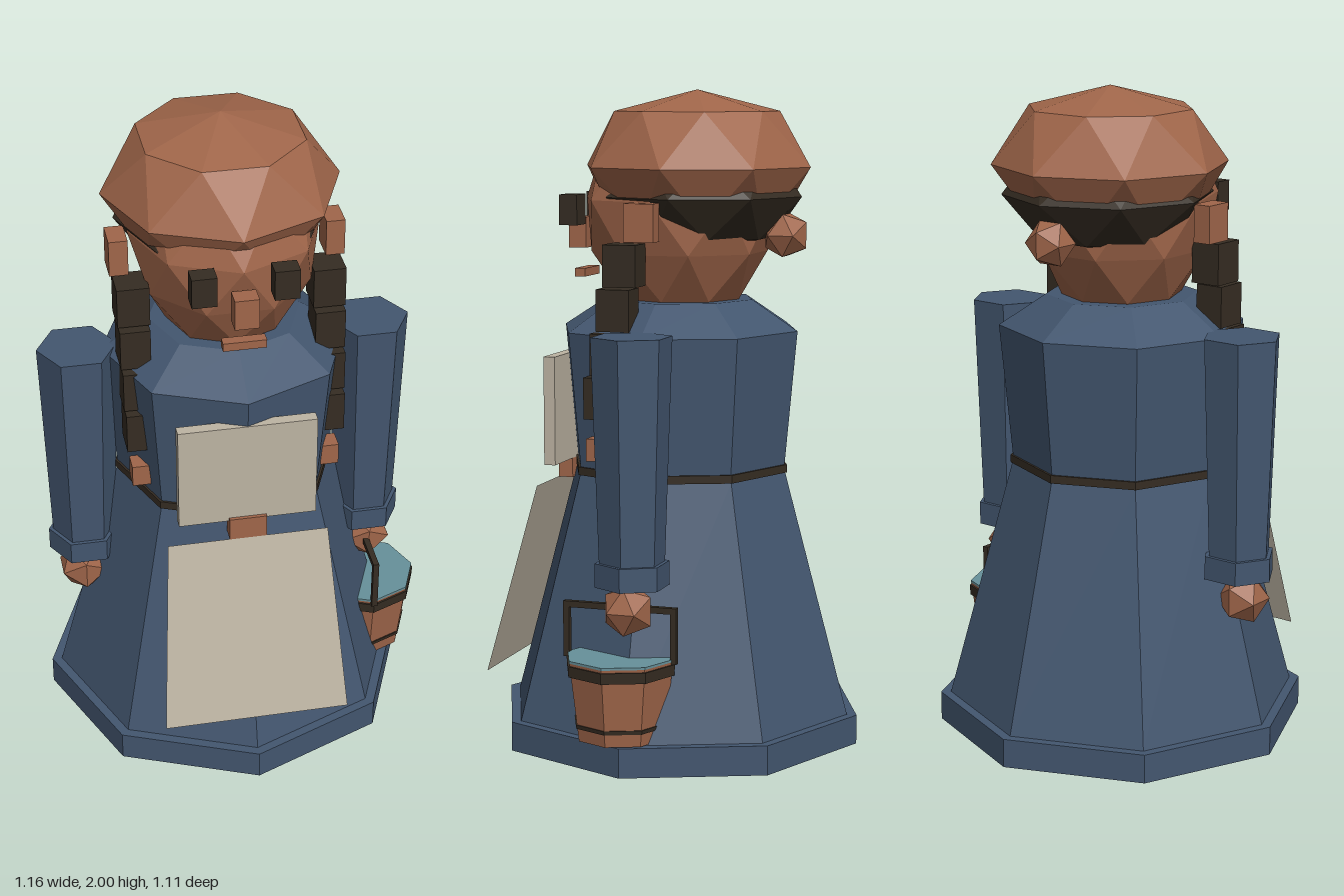
import * as THREE from 'three';

const mat = (name, color, side = THREE.FrontSide) =>
  Object.assign(new THREE.MeshStandardMaterial({ color, side }), { name });

export function createModel() {
  const model = new THREE.Group();
  model.name = 'villagerWithBucket';
  const figure = new THREE.Group();
  figure.name = 'figure';
  figure.position.x = -0.02;
  model.add(figure);

  const navy = mat('navyCloth', 0x43566f);
  const brown = mat('warmBrown', 0xa0664a);
  const dark = mat('darkBrown', 0x352c22, THREE.DoubleSide);
  const linen = mat('linen', 0xbdb4a3, THREE.DoubleSide);
  const teal = mat('water', 0x67919a);

  // faceted mesh helper
  const add = (name, geo, material, x = 0, y = 0, z = 0, parent = figure) => {
    const g = geo.index ? geo.toNonIndexed() : geo;
    g.computeVertexNormals();
    const m = new THREE.Mesh(g, material);
    m.name = name;
    m.position.set(x, y, z);
    parent.add(m);
    return m;
  };
  const box = (name, material, w, h, d, x, y, z, parent) =>
    add(name, new THREE.BoxGeometry(w, h, d), material, x, y, z, parent);
  // prism or cone frustum between two heights
  const frustum = (name, material, rTop, rBottom, y0, y1, sides = 8, x = 0, z = 0, turn = 0, parent = figure) =>
    add(name, new THREE.CylinderGeometry(rTop, rBottom, y1 - y0, sides).rotateY(turn), material, x, (y0 + y1) / 2, z, parent);

  // eight-sided ball whose rings [radius, y], top to bottom, are staggered by half a step
  const ball = (rings, zScale = 1) => {
    const n = 8, pos = [];
    const point = (k, i) => {
      const a = ((i + (k % 2) / 2) * 2 * Math.PI) / n;
      return [rings[k][0] * Math.sin(a), rings[k][1], rings[k][0] * Math.cos(a) * zScale];
    };
    for (let k = 0; k < rings.length - 1; k++) {
      for (let i = 0; i < n; i++) {
        const s = k % 2;
        if (rings[k][0] > 0) pos.push(...point(k, i), ...point(k + 1, i + s), ...point(k, i + 1));
        if (rings[k + 1][0] > 0) pos.push(...point(k + 1, i), ...point(k + 1, i + 1), ...point(k, i + 1 - s));
      }
    }
    const g = new THREE.BufferGeometry();
    g.setAttribute('position', new THREE.Float32BufferAttribute(pos, 3));
    return g;
  };
  const sphereRings = (r, h) => [[0, h], [r * 0.707, h * 0.72], [r, 0], [r * 0.707, -h * 0.72], [0, -h]];

  // dress
  frustum('hem', navy, 0.557, 0.557, 0.06, 0.147);
  frustum('skirt', navy, 0.33, 0.527, 0.147, 0.872);
  frustum('belt', dark, 0.335, 0.335, 0.872, 0.896);
  frustum('bodice', navy, 0.365, 0.328, 0.896, 1.295);
  frustum('collar', navy, 0.225, 0.365, 1.295, 1.385);

  // apron
  box('apronBib', linen, 0.405, 0.325, 0.035, 0, 1.053, 0.342);
  const apron = new THREE.PlaneGeometry(1, 1);
  const ap = apron.attributes.position;
  for (let i = 0; i < ap.count; i++) {
    const top = ap.getY(i) > 0;
    ap.setXYZ(i, ap.getX(i) * (top ? 0.475 : 0.555), top ? 0.832 : 0.265, top ? 0.37 : 0.52);
  }
  add('apronSkirt', apron, linen);
  box('buckle', brown, 0.11, 0.07, 0.045, 0, 0.866, 0.348);

  // head, hair and kerchief
  add('head', ball([[0, 1.9], [0.22, 1.83], [0.28, 1.68], [0.252, 1.525], [0.175, 1.385], [0, 1.34]], 1.05), brown);
  add('hair', ball(sphereRings(0.31, 0.17)), dark, 0, 1.69, -0.065);
  add('kerchief', ball(sphereRings(0.347, 0.224)), brown, 0, 1.776, -0.054);
  add('bun', new THREE.IcosahedronGeometry(0.073), brown, 0, 1.578, -0.327);

  // face
  box('nose', brown, 0.07, 0.092, 0.055, 0, 1.575, 0.313);
  box('mouth', brown, 0.125, 0.025, 0.033, 0, 1.457, 0.295);

  for (const s of [-1, 1]) {
    const side = s > 0 ? 'left' : 'right';
    box(side + 'Eye', dark, 0.072, 0.09, 0.056, s * 0.116, 1.648, 0.298);
    box(side + 'Ear', brown, 0.055, 0.11, 0.09, s * 0.313, 1.625, 0.013);

    // braid of four blocks with a tie
    for (let i = 0; i < 4; i++)
      box(side + 'Braid', dark, 0.094 - i * 0.006, 0.122, 0.1, s * 0.284, 1.5 - i * 0.129, 0.076 + i * 0.021);
    box(side + 'BraidTie', brown, 0.054, 0.066, 0.06, s * 0.282, 0.96, 0.156);

    // sleeve, cuff and hand
    frustum(side + 'Sleeve', navy, 0.118, 0.096, 0.66, 1.312, 6, s * 0.436, 0, Math.PI / 6);
    frustum(side + 'Cuff', navy, 0.109, 0.109, 0.595, 0.665, 6, s * 0.436, 0, Math.PI / 6);
    add(side + 'Hand', new THREE.IcosahedronGeometry(0.08), brown, s * 0.444, 0.525, 0.01);

    // boot, open above and below
    const boot = new THREE.CylinderGeometry(Math.SQRT1_2, Math.SQRT1_2, 1, 4, 1, true)
      .rotateY(Math.PI / 4).scale(0.238, 0.06, 0.365);
    add(side + 'Boot', boot, dark, s * 0.166, 0.03, 0.067);
  }

  // bucket
  const bucket = new THREE.Group();
  bucket.name = 'bucket';
  bucket.position.set(0.435, 0, 0.037);
  figure.add(bucket);
  const part = (name, m, rt, rb, y0, y1) => frustum(name, m, rt, rb, y0, y1, 8, 0, 0, 0, bucket);
  part('bucketBody', brown, 0.161, 0.132, 0.15, 0.382);
  part('upperHoop', dark, 0.166, 0.164, 0.342, 0.374);
  part('lowerHoop', dark, 0.142, 0.14, 0.188, 0.2);
  part('waterSurface', teal, 0.162, 0.162, 0.382, 0.389);
  for (const s of [-1, 1]) box('handlePost', dark, 0.018, 0.16, 0.018, 0, 0.455, s * 0.163, bucket);
  box('handleBar', dark, 0.018, 0.018, 0.345, 0, 0.53, 0, bucket);

  return model;
}
